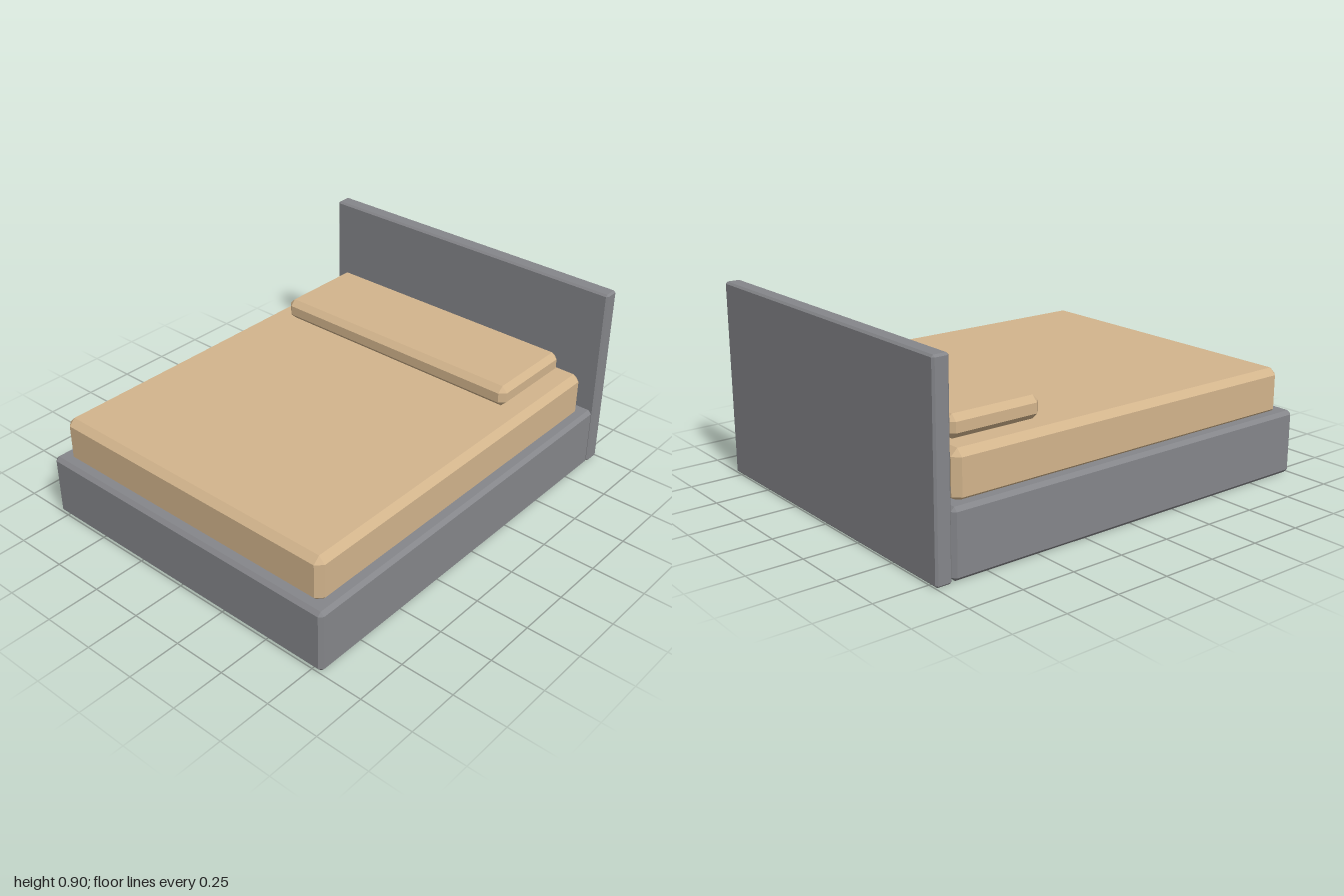
import * as THREE from 'three';
import { ConvexGeometry } from 'three/addons/geometries/ConvexGeometry.js';

// Box with flat chamfers of size c: three corner points at each of the eight corners
function chamferBox(w, h, d, c) {
  const points = [];
  for (const sx of [-1, 1]) for (const sy of [-1, 1]) for (const sz of [-1, 1]) {
    const x = w / 2, y = h / 2, z = d / 2;
    points.push(
      new THREE.Vector3(sx * x, sy * (y - c), sz * (z - c)),
      new THREE.Vector3(sx * (x - c), sy * y, sz * (z - c)),
      new THREE.Vector3(sx * (x - c), sy * (y - c), sz * z),
    );
  }
  return new ConvexGeometry(points);
}

export function createModel() {
  const bed = new THREE.Group();
  bed.name = 'bed';
  const frameMaterial = new THREE.MeshStandardMaterial({ color: 0x85868a });
  const beddingMaterial = new THREE.MeshStandardMaterial({ color: 0xd2b48c });

  // Adds a part centred on x, spanning the given y and z ranges
  function addPart(name, material, width, [y0, y1], [z0, z1], chamfer) {
    const mesh = new THREE.Mesh(chamferBox(width, y1 - y0, z1 - z0, chamfer), material);
    mesh.name = name;
    mesh.position.set(0, (y0 + y1) / 2, (z0 + z1) / 2);
    bed.add(mesh);
  }

  addPart('base', frameMaterial, 1.6, [0, 0.3], [-0.92, 1], 0.017);
  addPart('headboard', frameMaterial, 1.6, [0, 0.9], [-1, -0.925], 0.009);
  // The mattress sinks slightly into the base
  addPart('mattress', beddingMaterial, 1.5, [0.28, 0.5], [-0.87, 0.95], 0.03);
  addPart('pillow', beddingMaterial, 1.3, [0.5, 0.6], [-0.82, -0.37], 0.027);

  return bed;
}
